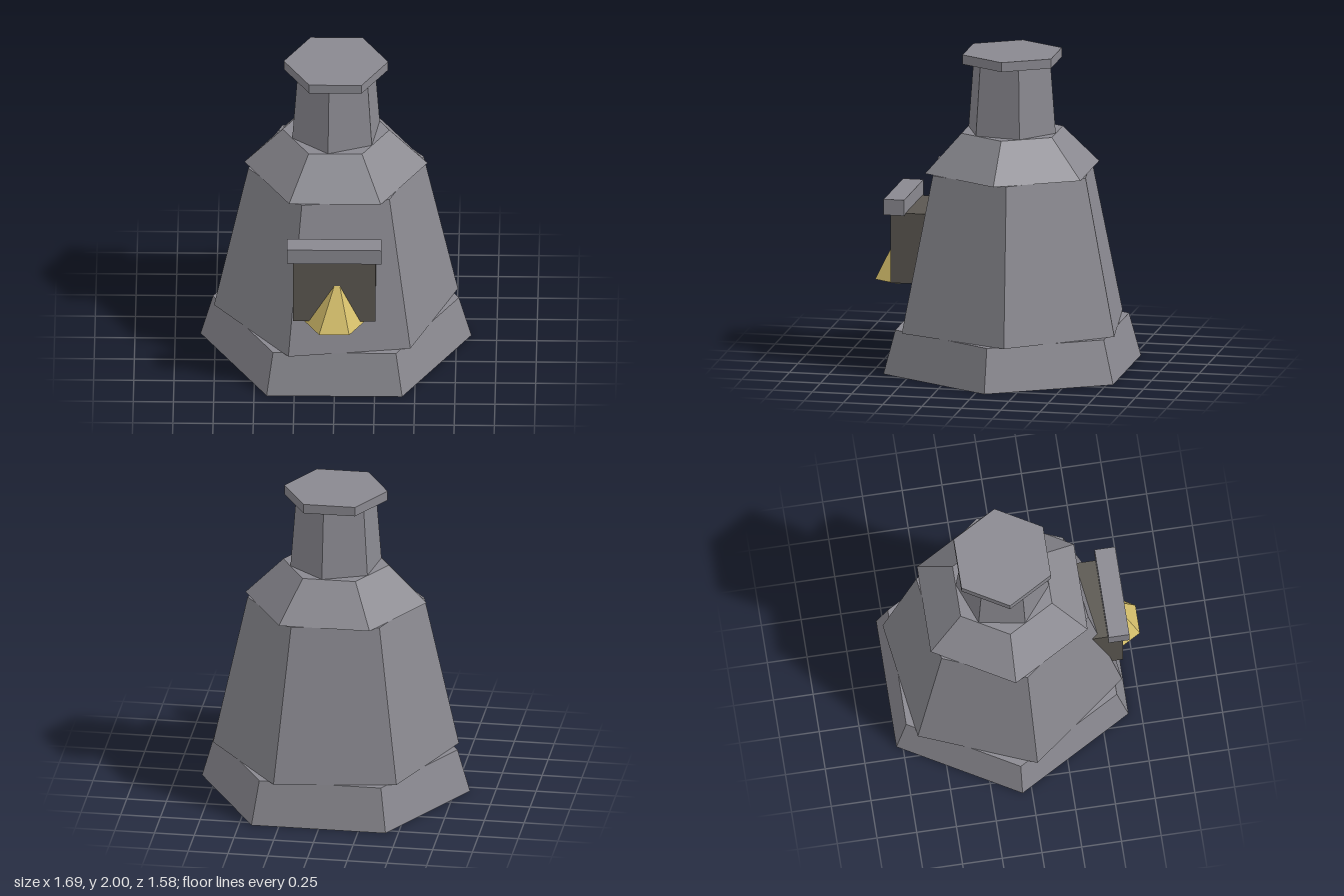
import * as THREE from 'three';

const AXIS_Z = -0.06; // tower axis; the hearth projects forward of it

export function createModel() {
  const group = new THREE.Group();
  group.name = 'stoneFurnace';

  const mat = (name, color) => {
    const m = new THREE.MeshStandardMaterial({ color, flatShading: true });
    m.name = name;
    return m;
  };
  const stone = mat('greyStone', 0x8a8990);
  const soot = mat('sootBrown', 0x5b5751);
  const flameGold = mat('flameGold', 0xd6c06c);

  const add = (name, geometry, material) => {
    const mesh = new THREE.Mesh(geometry, material);
    mesh.name = name;
    group.add(mesh);
    return mesh;
  };

  // Six-sided tapered tier, corners on the x axis before the twist
  const tier = (name, y0, y1, rBottom, rTop, twist = 0) => {
    const g = new THREE.CylinderGeometry(rTop, rBottom, y1 - y0, 6);
    g.rotateY(Math.PI / 6 + twist);
    g.translate(0, (y0 + y1) / 2, AXIS_Z);
    return add(name, g, stone);
  };

  // Box given by its limits on each axis
  const box = (name, [x0, x1], [y0, y1], [z0, z1], material) => {
    const g = new THREE.BoxGeometry(x1 - x0, y1 - y0, z1 - z0);
    g.translate((x0 + x1) / 2, (y0 + y1) / 2, (z0 + z1) / 2);
    return add(name, g, material);
  };

  // Tower
  tier('base', 0, 0.275, 0.843, 0.765);
  tier('body', 0.275, 1.26, 0.765, 0.55, 0.14);
  tier('shoulder', 1.26, 1.5, 0.57, 0.332);
  tier('chimney', 1.5, 1.94, 0.29, 0.256, 0.365);
  tier('chimneyCap', 1.94, 2.0, 0.325, 0.325);

  // Hearth opening with its lintel
  box('hearth', [-0.257, 0.255], [0.545, 0.993], [0.3, 0.66], soot);
  box('lintel', [-0.295, 0.293], [0.985, 1.085], [0.565, 0.695], stone);

  // Flame: six-sided cone whose tip leans slightly to the left
  const flame = new THREE.ConeGeometry(0.187, 0.34, 6);
  flame.rotateY(Math.PI / 6);
  const p = flame.attributes.position;
  for (let i = 0; i < p.count; i++) {
    if (p.getY(i) > 0) p.setX(i, p.getX(i) + 0.02);
  }
  flame.translate(0, 0.695, 0.63);
  add('flame', flame, flameGold);

  return group;
}
